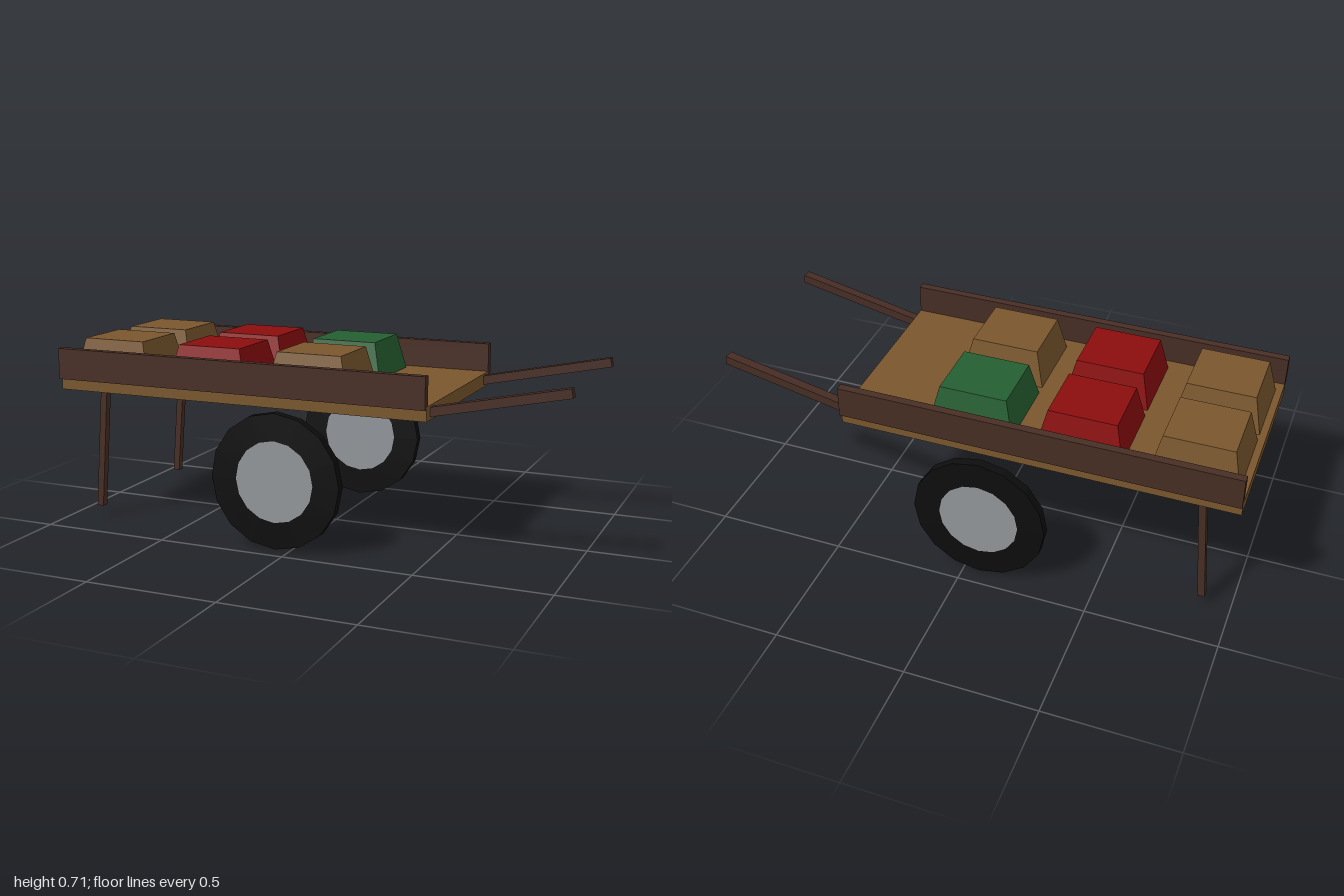
import * as THREE from 'three';

const material = (name, color) => {
  const m = new THREE.MeshStandardMaterial({ color });
  m.name = name;
  return m;
};

export function createModel() {
  const cart = new THREE.Group();
  cart.name = 'cart';
  const wood = material('wood', 0x7a572d);
  const darkWood = material('darkWood', 0x482e25);
  const red = material('red', 0x8b0c0c);
  const green = material('green', 0x255f31);
  const rubber = material('rubber', 0x0d0d0d);
  const metal = material('metal', 0x92979b);

  const add = (name, geometry, mat, x = 0, y = 0, z = 0, parent = cart) => {
    const mesh = new THREE.Mesh(geometry, mat);
    mesh.name = name;
    mesh.position.set(x, y, z);
    parent.add(mesh);
    return mesh;
  };

  // Square beam between two points in the xy plane
  const beam = (name, x1, y1, x2, y2, z, thick, width) => {
    const length = Math.hypot(x2 - x1, y2 - y1);
    const mesh = add(name, new THREE.BoxGeometry(length, thick, width), darkWood, (x1 + x2) / 2, (y1 + y2) / 2, z);
    mesh.rotation.z = Math.atan2(y2 - y1, x2 - x1);
  };

  // Crate that narrows towards its top
  const crateGeometry = new THREE.BoxGeometry(0.32, 0.137, 0.297);
  const p = crateGeometry.attributes.position;
  for (let i = 0; i < p.count; i++) {
    if (p.getY(i) > 0) p.setXYZ(i, p.getX(i) * 0.8, p.getY(i), p.getZ(i) * 0.81);
  }
  crateGeometry.computeVertexNormals();

  // Flat bed
  add('bed', new THREE.BoxGeometry(1.5, 0.053, 0.75), wood, -0.25, 0.5435, 0);

  // Tyre: faceted ring, slightly thinner at the rim; hub shows on both faces
  const tyreGeometry = new THREE.LatheGeometry([
    new THREE.Vector2(0.154, -0.021),
    new THREE.Vector2(0.256, -0.018),
    new THREE.Vector2(0.256, 0.018),
    new THREE.Vector2(0.154, 0.021),
  ], 16).toNonIndexed();
  tyreGeometry.computeVertexNormals();
  tyreGeometry.rotateX(Math.PI / 2);
  const hubGeometry = new THREE.CylinderGeometry(0.154, 0.154, 0.042, 16).rotateX(Math.PI / 2);

  for (const side of [1, -1]) {
    const label = side > 0 ? 'front' : 'back';
    add(label + 'SideBoard', new THREE.BoxGeometry(1.5, 0.12, 0.031), darkWood, -0.25, 0.62, side * 0.377);
    beam(label + 'Handle', 0.49, 0.543, 0.996, 0.65, side * 0.318, 0.034, 0.036);
    beam(label + 'Leg', -0.849, 0.53, -0.889, 0.041, side * 0.301, 0.027, 0.028);

    const wheel = new THREE.Group();
    wheel.name = label + 'Wheel';
    wheel.position.set(-0.06, 0.256, side * 0.415);
    cart.add(wheel);
    add('tyre', tyreGeometry, rubber, 0, 0, 0, wheel);
    add('hub', hubGeometry, metal, 0, 0, 0, wheel);
  }

  // Two rows of crates
  [
    [-0.814, wood, wood],
    [-0.398, red, red],
    [0.013, wood, green],
  ].forEach(([x, frontMat, backMat]) => {
    add('frontCrate', crateGeometry, frontMat, x, 0.6405, 0.165);
    add('backCrate', crateGeometry, backMat, x, 0.6405, -0.166);
  });

  return cart;
}
